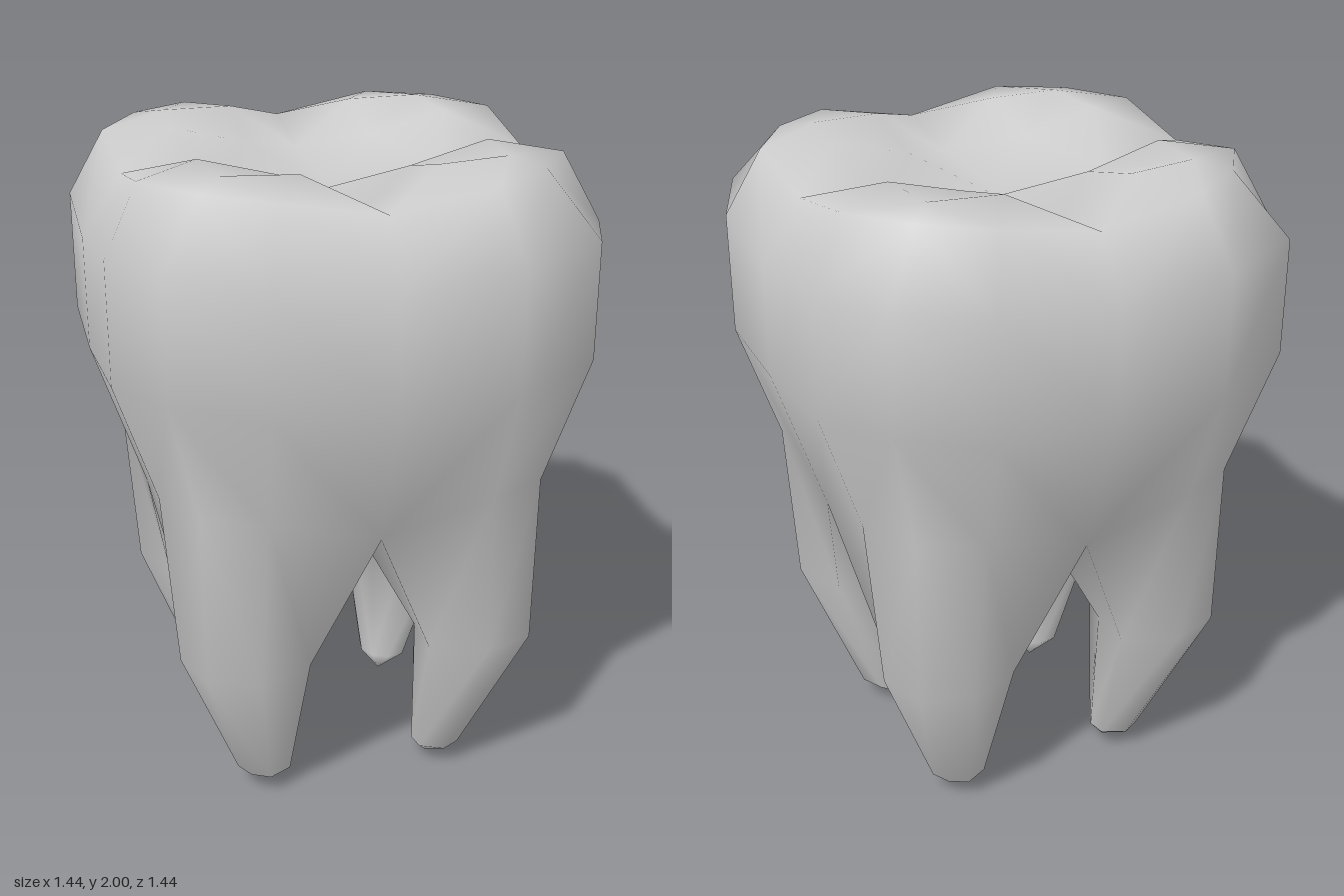
import * as THREE from 'three';
import { mergeVertices } from 'three/addons/utils/BufferGeometryUtils.js';

// Mirrors half a row (front middle to corner) across the quadrant's diagonal.
const mirrorRow = (half) => [...half, ...half.slice(0, -1).reverse().map(([x, y, z]) => [z, y, x])];

// Crown rows of one quadrant, bottom to top, each from the front middle to the side middle.
const neck = mirrorRow([[0, 0.965, 0.57], [0.33, 1.06, 0.588], [0.505, 1.06, 0.505]]);
const crownRows = [
  neck,
  mirrorRow([[0, 1.41, 0.718], [0.345, 1.42, 0.707], [0.6, 1.46, 0.6]]),
  mirrorRow([[0, 1.74, 0.718], [0.345, 1.78, 0.707], [0.6, 1.8, 0.6]]),
  mirrorRow([[0, 1.92, 0.6], [0.3, 1.975, 0.605], [0.48, 1.98, 0.48]]),
  mirrorRow([[0, 1.87, 0.36], [0.19, 1.995, 0.42], [0.4, 2.0, 0.4]]),
  mirrorRow([[0, 1.835, 0], [0.19, 1.935, 0.19], [0.19, 1.935, 0.19]]),
];

// Closed loops of one root, from the tip up to the fork.
const tip = [0.26, 0, 0.26];
const loop = (y, half, inner) => {
  const row = mirrorRow(half.map(([x, z]) => [x, y, z]));
  return [...row, [inner, y, inner]];
};
const rootRows = [
  Array(8).fill(tip),
  loop(0.07, [[0.205, 0.28], [0.215, 0.335], [0.285, 0.37], [0.34, 0.34]], 0.23),
  loop(0.53, [[0.185, 0.34], [0.185, 0.48], [0.35, 0.55], [0.5, 0.5]], 0.22),
  [[0, 0.88, 0.3], ...neck, [0.3, 0.88, 0], [0, 0.88, 0]],
];

// Joins neighbouring rows with triangles, mirrored about the diagonal, leaving out collapsed ones.
function joinRows(rows, closed, out) {
  const same = (a, b) => a.every((v, i) => Math.abs(v - b[i]) < 1e-6);
  const tri = (a, b, c) => {
    if (!same(a, b) && !same(b, c) && !same(a, c)) out.push(...a, ...b, ...c);
  };
  for (let r = 0; r < rows.length - 1; r++) {
    const low = rows[r], high = rows[r + 1], n = low.length;
    for (let i = 0; i < (closed ? n : n - 1); i++) {
      const j = (i + 1) % n;
      if (i >= Math.floor((n - 1) / 2) && i < n - 1) {
        tri(low[i], low[j], high[i]);
        tri(low[j], high[j], high[i]);
      } else {
        tri(low[i], low[j], high[j]);
        tri(low[i], high[j], high[i]);
      }
    }
  }
}

// Repeats a quadrant around the vertical axis and welds it into one smooth skin.
function fourfold(points) {
  const all = [];
  for (let k = 0; k < 4; k++) {
    for (let i = 0; i < points.length; i += 3) {
      let x = points[i], z = points[i + 2];
      for (let t = 0; t < k; t++) [x, z] = [z, -x];
      all.push(x, points[i + 1], z);
    }
  }
  const geometry = new THREE.BufferGeometry();
  geometry.setAttribute('position', new THREE.Float32BufferAttribute(all, 3));
  const skin = mergeVertices(geometry, 1e-4);
  skin.computeVertexNormals();
  return skin;
}

export function createModel() {
  const group = new THREE.Group();
  group.name = 'tooth';
  const enamel = new THREE.MeshStandardMaterial({ color: 0xcccccc });
  enamel.name = 'enamel';

  // Crown with four cusps and four roots, one continuous surface
  const quadrant = [];
  joinRows(crownRows, false, quadrant);
  joinRows(rootRows, true, quadrant);
  const tooth = new THREE.Mesh(fourfold(quadrant), enamel);
  tooth.name = 'crownAndRoots';
  group.add(tooth);
  return group;
}
